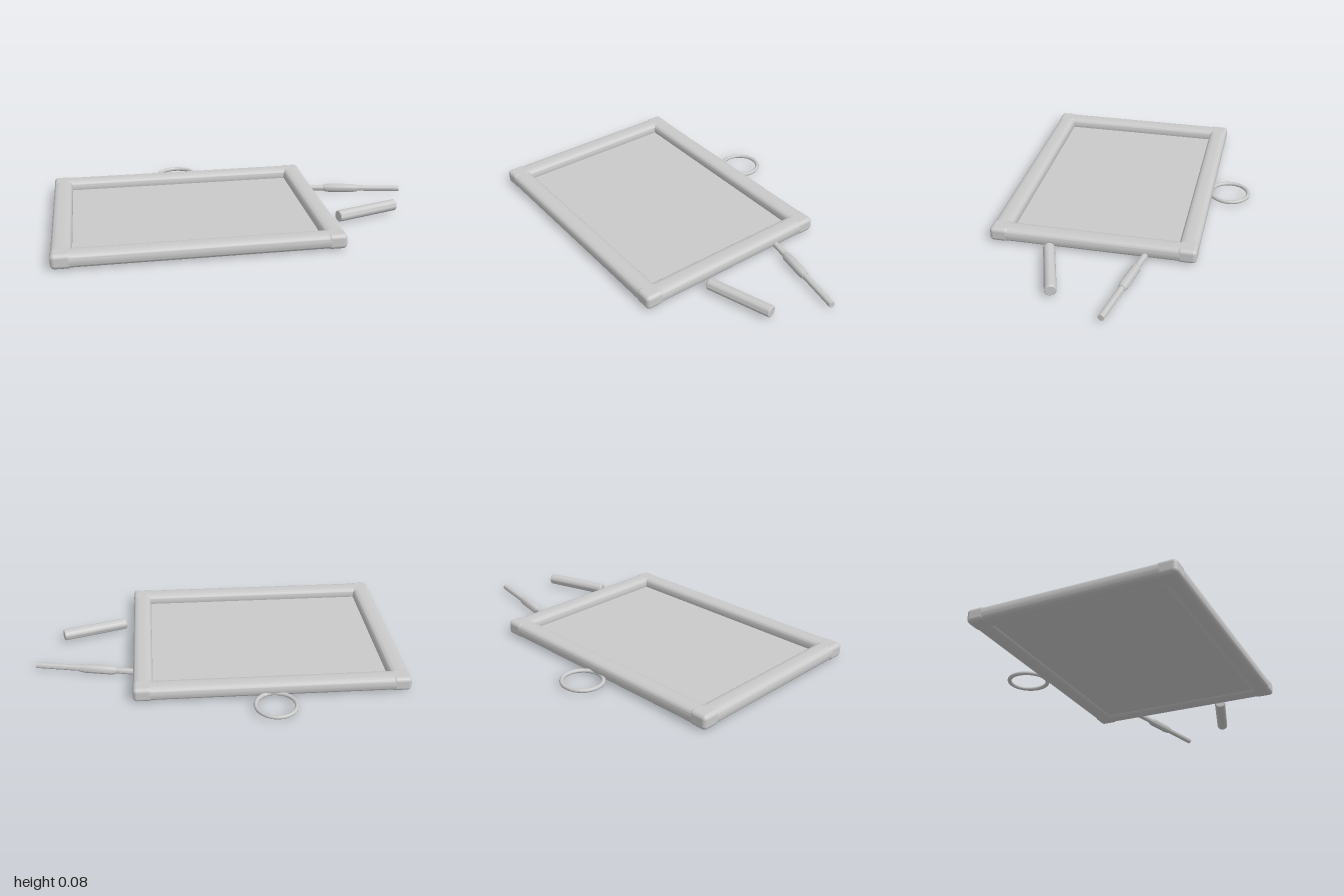
import * as THREE from 'three';
import { toCreasedNormals } from 'three/addons/utils/BufferGeometryUtils.js';
import { RoundedBoxGeometry } from 'three/addons/geometries/RoundedBoxGeometry.js';

const grey = new THREE.MeshStandardMaterial({ color: 0xc9c9c9 });
grey.name = 'plain grey';

const X0 = -1, X1 = 0.467, Z0 = -0.45, Z1 = 0.658; // outer edges of the frame
const RAIL = 0.104, LOW = 0.006, HIGH = 0.084, MID = (LOW + HIGH) / 2;

function add(parent, name, geometry, x, y, z) {
  const mesh = new THREE.Mesh(geometry, grey);
  mesh.name = name;
  mesh.position.set(x, y, z);
  parent.add(mesh);
  return mesh;
}

// Bar along z with a soft, arched cross-section
function railGeometry(length) {
  const pts = [];
  const soft = (v) => Math.sign(v) * Math.abs(v) ** 0.65;
  for (let i = 0; i < 40; i++) {
    const a = (i / 40) * Math.PI * 2;
    pts.push(new THREE.Vector2(soft(Math.cos(a)) * RAIL / 2, soft(Math.sin(a)) * (HIGH - LOW) / 2));
  }
  const g = new THREE.ExtrudeGeometry(new THREE.Shape(pts), { depth: length, bevelEnabled: false });
  g.translate(0, 0, -length / 2);
  return toCreasedNormals(g, 0.8);
}

// Turned rod between two points, with a profile of [position 0..1, radius]
function rod(parent, name, from, to, profile, sides) {
  const dir = to.clone().sub(from);
  const len = dir.length();
  const pts = [[0, 0], ...profile, [1, 0]].map(([t, r]) => new THREE.Vector2(r, t * len));
  const g = toCreasedNormals(new THREE.LatheGeometry(pts, sides), 0.6);
  const mesh = add(parent, name, g, from.x, from.y, from.z);
  mesh.quaternion.setFromUnitVectors(new THREE.Vector3(0, 1, 0), dir.normalize());
}

export function createModel() {
  const model = new THREE.Group();
  model.name = 'writingSlate';
  const cx = (X0 + X1) / 2, cz = (Z0 + Z1) / 2;
  const width = X1 - X0, depth = Z1 - Z0, half = RAIL / 2;

  // Frame rails and corner blocks
  const frame = new THREE.Group();
  frame.name = 'frame';
  model.add(frame);
  const longRail = railGeometry(width - RAIL), shortRail = railGeometry(depth - RAIL);
  const corner = new RoundedBoxGeometry(RAIL, HIGH - LOW, RAIL, 4, 0.022);
  for (const [end, z] of [['back', Z0 + half], ['front', Z1 - half]]) {
    add(frame, end + 'Rail', longRail, cx, MID, z).rotation.y = Math.PI / 2;
    add(frame, end + 'RightCorner', corner, X0 + half, MID, z);
    add(frame, end + 'LeftCorner', corner, X1 - half, MID, z);
  }
  add(frame, 'rightRail', shortRail, X0 + half, MID, cz);
  add(frame, 'leftRail', shortRail, X1 - half, MID, cz);

  // Writing panel
  add(model, 'panel', new THREE.BoxGeometry(width - RAIL, 0.014, depth - RAIL), cx, 0.026, cz);

  // Hanging ring at the back
  const ring = new THREE.TorusGeometry(0.106, 0.0112, 10, 40);
  add(model, 'hangingRing', ring, cx, 0.022, -0.543).rotation.x = Math.PI / 2;

  // Chalk stick
  rod(model, 'chalk', new THREE.Vector3(0.514, 0.041, 0.314), new THREE.Vector3(0.867, 0.041, 0.204),
    [[0, 0.027], [0.012, 0.031], [0.988, 0.031], [1, 0.027]], 24);

  // Slate pencil with a thicker, tapered sleeve
  rod(model, 'pencil', new THREE.Vector3(0.44, 0.0245, -0.187), new THREE.Vector3(0.997, 0.0245, -0.076),
    [[0, 0.0165], [1, 0.0165]], 16);
  rod(model, 'pencilSleeve', new THREE.Vector3(0.56, 0.0245, -0.1631), new THREE.Vector3(0.757, 0.0245, -0.1238),
    [[0, 0.017], [0.1, 0.0245], [0.85, 0.0245], [1, 0.02]], 16);

  return model;
}
